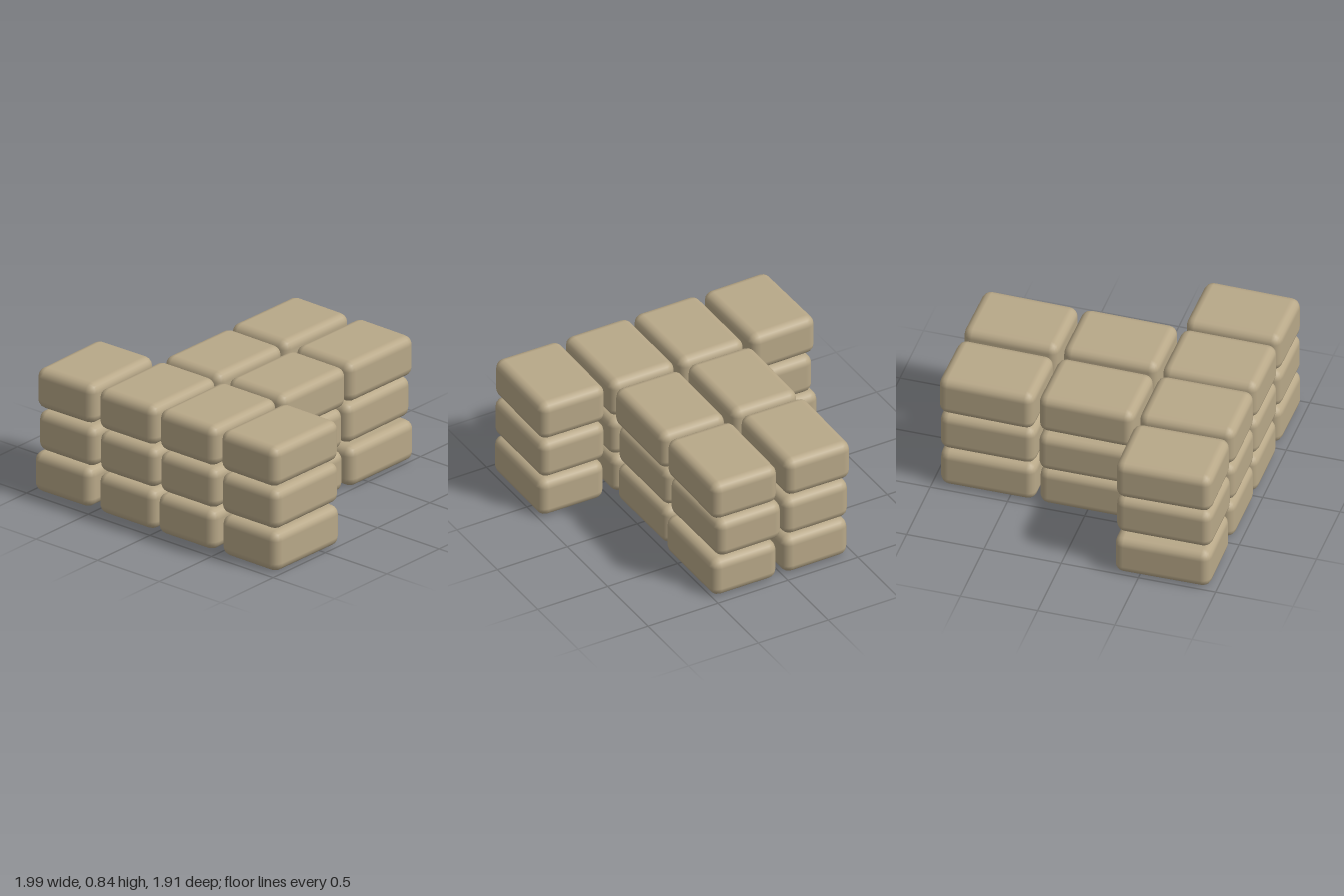
import * as THREE from 'three';
import { RoundedBoxGeometry } from 'three/addons/geometries/RoundedBoxGeometry.js';

// T-shaped wall of stacked, slightly misaligned sandbags
export function createModel() {
  const wall = new THREE.Group();
  wall.name = 'sandbagWall';

  const sand = new THREE.MeshStandardMaterial({ color: 0xb8a888 });
  sand.name = 'sand';

  const bag = new RoundedBoxGeometry(0.465, 0.27, 0.62, 2, 0.06);

  // Each bag is [x, yaw]; layers run from bottom to top
  const rows = [
    { name: 'frontRow', z: 0.645, layers: [
      [[-0.765, 0.01], [-0.24, 0], [0.24, 0.005], [0.76, -0.01]],
      [[-0.73, 0], [-0.235, 0.005], [0.255, 0], [0.755, 0]],
      [[-0.745, 0.015], [-0.24, 0.003], [0.252, -0.003], [0.752, -0.012]],
    ] },
    { name: 'middleRow', z: 0, layers: [
      [[-0.24, 0], [0.245, 0.005]],
      [[-0.265, 0.005], [0.24, 0]],
      [[-0.252, -0.012], [0.265, -0.008]],
    ] },
    { name: 'backRow', z: -0.645, layers: [
      [[-0.235, 0.005], [0.27, -0.005]],
      [[-0.24, 0], [0.24, 0.005]],
      [[-0.258, -0.014], [0.265, -0.014]],
    ] },
  ];

  for (const { name, z, layers } of rows) {
    const row = new THREE.Group();
    row.name = name;
    layers.forEach((bags, level) => bags.forEach(([x, yaw]) => {
      const mesh = new THREE.Mesh(bag, sand);
      mesh.name = 'sandbag';
      mesh.position.set(x, 0.14 + level * 0.285, z);
      mesh.rotation.y = yaw;
      row.add(mesh);
    }));
    wall.add(row);
  }
  return wall;
}
